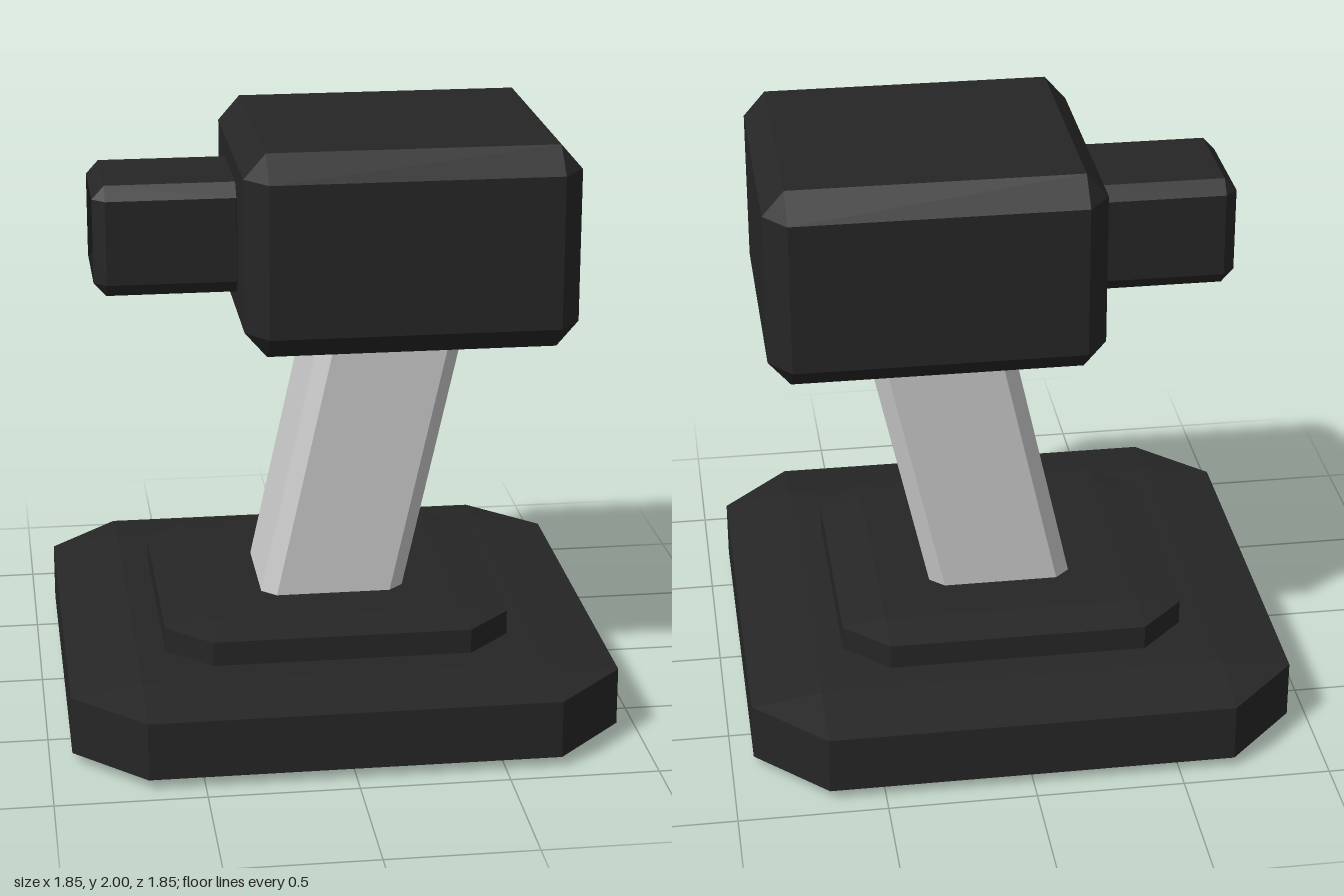
import * as THREE from 'three';

const dark = new THREE.MeshStandardMaterial({ color: 0x262626, flatShading: true });
const darkShell = new THREE.MeshStandardMaterial({ color: 0x262626, flatShading: true, side: THREE.DoubleSide });
const grey = new THREE.MeshStandardMaterial({ color: 0xcccccc, flatShading: true });

// Eight-point ring at height y: a rectangle of half sizes hx, hz with corners cut by cx, cz
function ring(y, hx, hz, cx, cz, ox = 0) {
  return [
    [hx, hz - cz], [hx, cz - hz], [hx - cx, -hz], [cx - hx, -hz],
    [-hx, cz - hz], [-hx, hz - cz], [cx - hx, hz], [hx - cx, hz],
  ].map(([x, z]) => new THREE.Vector3(x + ox, y, z));
}

// Joins rings from bottom to top, with optional flat caps
function loft(rings, capBottom = true, capTop = true) {
  const pos = [];
  const tri = (a, b, c) => {
    const area = b.clone().sub(a).cross(c.clone().sub(a)).length();
    if (area > 1e-7) for (const p of [a, b, c]) pos.push(p.x, p.y, p.z);
  };
  for (let r = 0; r < rings.length - 1; r++) {
    const lo = rings[r], up = rings[r + 1];
    for (let i = 0; i < 8; i++) {
      const j = (i + 1) % 8;
      tri(lo[i], lo[j], up[j]);
      tri(lo[i], up[j], up[i]);
    }
  }
  const first = rings[0], last = rings[rings.length - 1];
  for (let i = 1; i < 7; i++) {
    if (capBottom) tri(first[0], first[i + 1], first[i]);
    if (capTop) tri(last[0], last[i], last[i + 1]);
  }
  const g = new THREE.BufferGeometry();
  g.setAttribute('position', new THREE.Float32BufferAttribute(pos, 3));
  g.computeVertexNormals();
  return g;
}

// Box with every edge chamfered; the chamfer differs per axis
function chamferBox(hx, hy, hz, bx, by, bz, openTop = false) {
  return loft([
    ring(-hy, hx - bx, hz - bz, 0, 0),
    ring(by - hy, hx, hz, bx, bz),
    ring(hy - by, hx, hz, bx, bz),
    ring(hy, hx - bx, hz - bz, 0, 0),
  ], true, !openTop);
}

export function createModel() {
  const model = new THREE.Group();
  const add = (name, geometry, material, x, y) => {
    const mesh = new THREE.Mesh(geometry, material);
    mesh.name = name;
    mesh.position.set(x, y, 0);
    model.add(mesh);
    return mesh;
  };

  // Two-tier foot
  add('basePlate', chamferBox(0.925, 0.135, 0.925, 0.238, 0.035, 0.238), dark, 0, 0.135);
  add('baseStep', chamferBox(0.59, 0.0875, 0.567, 0.15, 0.02, 0.147), dark, 0, 0.2875);

  // Leaning column with cut corners
  const lean = (y) => 0.0125 + 0.2216 * (y - 0.375);
  add('column', loft([0.33, 1.4].map((y) => ring(y, 0.2475, 0.23, 0.05, 0.047, lean(y)))), grey, 0, 0);

  // Head block
  add('head', chamferBox(0.56, 0.345, 0.523, 0.074, 0.085, 0.094), dark, 0.25, 1.655);

  // Hollow snout, open at its outer end and sunk into the head
  const snout = add('snout', chamferBox(0.19, 0.26, 0.217, 0.046, 0.042, 0.04, true), darkShell, -0.53, 1.655);
  snout.rotation.z = Math.PI / 2;

  return model;
}
